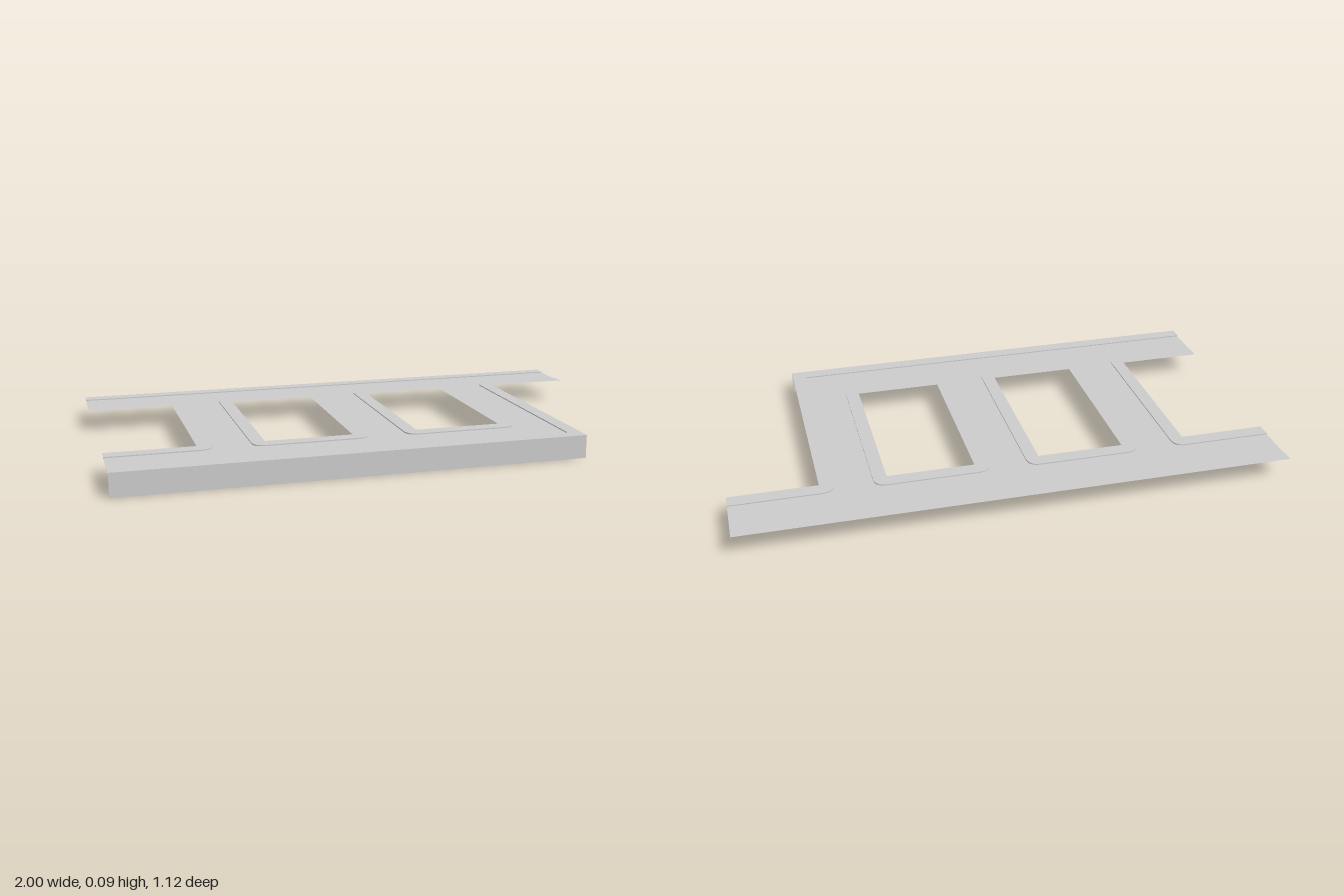
import * as THREE from 'three';

const TOP = 0.085;      // pavement level
const ROAD = 0.081;     // roadway level, one kerb lower
const E = 0.317;        // inner edge of the long strips (z)
const K = 0.37;         // kerb line beside that edge (z)
const R = 0.045;        // kerb corner radius

// Plan path from [x, z, cornerRadius] points, with rounded corners
function plan(points) {
  const out = [];
  const v = (p) => new THREE.Vector2(p[0], p[1]);
  points.forEach((p, i) => {
    const c = v(p), r = p[2];
    if (!r) return out.push(c);
    const n = points.length;
    const toward = (q) => v(q).sub(c).normalize().multiplyScalar(r).add(c);
    const a = toward(points[(i + n - 1) % n]), b = toward(points[(i + 1) % n]);
    out.push(...new THREE.QuadraticBezierCurve(a, c, b).getPoints(6));
  });
  return out;
}

const rect = (x0, x1, z, r = 0) => plan([[x0, -z, r], [x1, -z, r], [x1, z, r], [x0, z, r]]);

// Horizontal sheet facing up at height y
function sheet(outline, holes, y) {
  const flip = (pts) => pts.map((p) => new THREE.Vector2(p.x, -p.y));
  const shape = new THREE.Shape(flip(outline));
  holes.forEach((h) => shape.holes.push(new THREE.Path(flip(h))));
  return new THREE.ShapeGeometry(shape).rotateX(-Math.PI / 2).translate(0, y, 0);
}

// Upright ribbon along a plan path
function ribbon(path, y0, y1) {
  const pos = [];
  for (let i = 0; i < path.length - 1; i++) {
    const a = path[i], b = path[i + 1];
    pos.push(a.x, y0, a.y, b.x, y0, b.y, b.x, y1, b.y);
    pos.push(a.x, y0, a.y, b.x, y1, b.y, a.x, y1, a.y);
  }
  const g = new THREE.BufferGeometry();
  g.setAttribute('position', new THREE.Float32BufferAttribute(pos, 3));
  g.computeVertexNormals();
  return g;
}

export function createModel() {
  const group = new THREE.Group();
  const material = new THREE.MeshStandardMaterial({ color: 0xcccccc, side: THREE.DoubleSide });
  const add = (name, geometry) => {
    const mesh = new THREE.Mesh(geometry, material);
    mesh.name = name;
    group.add(mesh);
  };

  // Kerb lines
  const back = plan([[-1, -0.51], [1, -0.51]]);
  const right = plan([[1, -K], [0.63, -K, R], [0.63, 0.51], [-1, 0.51]]);
  const left = plan([[-1, K], [-0.63, K, R], [-0.63, -K, R], [-1, -K]]);
  const islands = [[-0.49, -0.07], [0.07, 0.49]].map(([a, b]) => rect(a, b, K, R));
  const openings = [[-0.44, -0.12], [0.12, 0.44]].map(([a, b]) => rect(a, b, E));

  // Roadway between the kerbs
  add('roadway', sheet([...back, ...right, ...left], islands, ROAD));

  // Raised pavements along the outer edges
  const edges = {
    back: [back, [[1, -0.56], [-1, -0.56]]],
    frontAndRight: [right, [[-1, 0.56], [0.68, 0.56], [0.68, -E], [1, -E]]],
    left: [left, [[-1, -E], [-0.68, -E], [-0.68, E], [-1, E]]],
  };
  for (const [name, [kerb, outer]] of Object.entries(edges)) {
    add(name + 'Pavement', sheet([...kerb, ...plan(outer)], [], TOP));
    add(name + 'Kerb', ribbon(kerb, ROAD, TOP));
  }

  // Pavement rings around the two openings
  islands.forEach((ring, i) => {
    add('ringPavement' + (i + 1), sheet(ring, [openings[i]], TOP));
    add('ringKerb' + (i + 1), ribbon([...ring, ring[0]], ROAD, TOP));
  });

  // Upright panel under the front edge
  add('frontPanel', ribbon(plan([[-1, 0.56], [0.68, 0.56]]), 0, TOP));

  return group;
}
